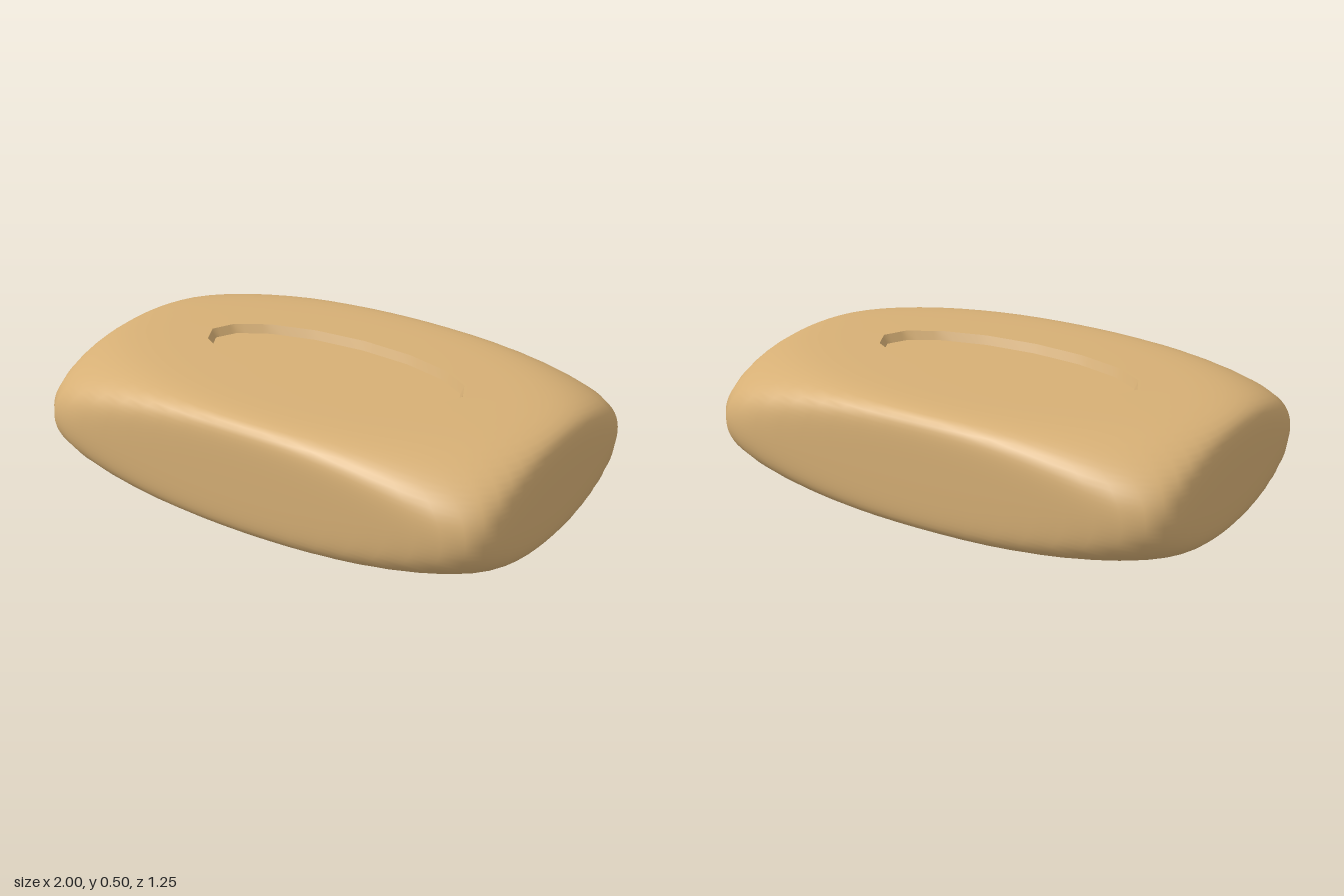
import * as THREE from 'three';

const SEG = 64;            // points around each ring
const HALF = [1, 0.25, 0.625];
const K = 1.34;            // swollen ball, pressed flat against the sides of a box
const Q = 14;              // sharpness of that pressing

// Soft limit of a coordinate to +-1
const squash = (t) => {
  const f = (v) => v / Math.pow(1 + Math.pow(Math.abs(v), Q), 1 / Q);
  return f(t) / f(K);
};

// One ring of the pressed ball at polar angle theta
function bodyRing(theta) {
  const ring = [];
  for (let j = 0; j < SEG; j++) {
    const phi = (j / SEG) * Math.PI * 2;
    ring.push(new THREE.Vector3(
      HALF[0] * squash(K * Math.sin(theta) * Math.cos(phi)),
      HALF[1] * (1 + squash(K * Math.cos(theta))),
      HALF[2] * squash(K * Math.sin(theta) * Math.sin(phi))));
  }
  return ring;
}

// Sixteen-sided oval ring for the recess
function ovalRing(rx, rz, y) {
  const ring = [], sides = 16, step = SEG / sides;
  const corner = (i) => {
    const a = (i / sides) * Math.PI * 2;
    return new THREE.Vector3(rx * Math.cos(a), y, rz * Math.sin(a));
  };
  for (let j = 0; j < SEG; j++) {
    const i = Math.floor(j / step);
    ring.push(corner(i).lerp(corner(i + 1), (j % step) / step));
  }
  return ring;
}

// Closed bands of faces through successive rings, smooth shaded
function skin(rings) {
  const pos = [], index = [];
  rings.forEach((ring) => ring.forEach((p) => pos.push(p.x, p.y, p.z)));
  for (let i = 0; i < rings.length - 1; i++) {
    for (let j = 0; j < SEG; j++) {
      const n = (j + 1) % SEG;
      const a = i * SEG + j, b = i * SEG + n, c = a + SEG, d = b + SEG;
      index.push(a, b, c, b, d, c);
    }
  }
  const g = new THREE.BufferGeometry();
  g.setAttribute('position', new THREE.Float32BufferAttribute(pos, 3));
  g.setIndex(index);
  g.computeVertexNormals();
  return g;
}

export function createModel() {
  const group = new THREE.Group();
  group.name = 'softBar';
  const tan = new THREE.MeshStandardMaterial({ color: 0xd6af75 });
  tan.name = 'warm tan';

  const add = (name, geometry) => {
    const mesh = new THREE.Mesh(geometry, tan);
    mesh.name = name;
    group.add(mesh);
  };

  // Pillow-shaped body, open at the oval rim on top
  const body = [ovalRing(0.575, 0.232, 0.5), ovalRing(0.59, 0.247, 0.5)];
  const start = 0.49, rows = 44;
  for (let i = 0; i <= rows; i++) {
    body.push(bodyRing(start + (Math.PI - start) * (i / rows)));
  }
  add('body', skin(body));

  // Shallow oval recess: floor, then its sloping wall
  const floorY = 0.465;
  add('recessFloor', skin([ovalRing(0, 0, floorY), ovalRing(0.56, 0.217, floorY)]));
  add('recessWall', skin([ovalRing(0.56, 0.217, floorY), ovalRing(0.575, 0.232, 0.5)]));

  return group;
}
